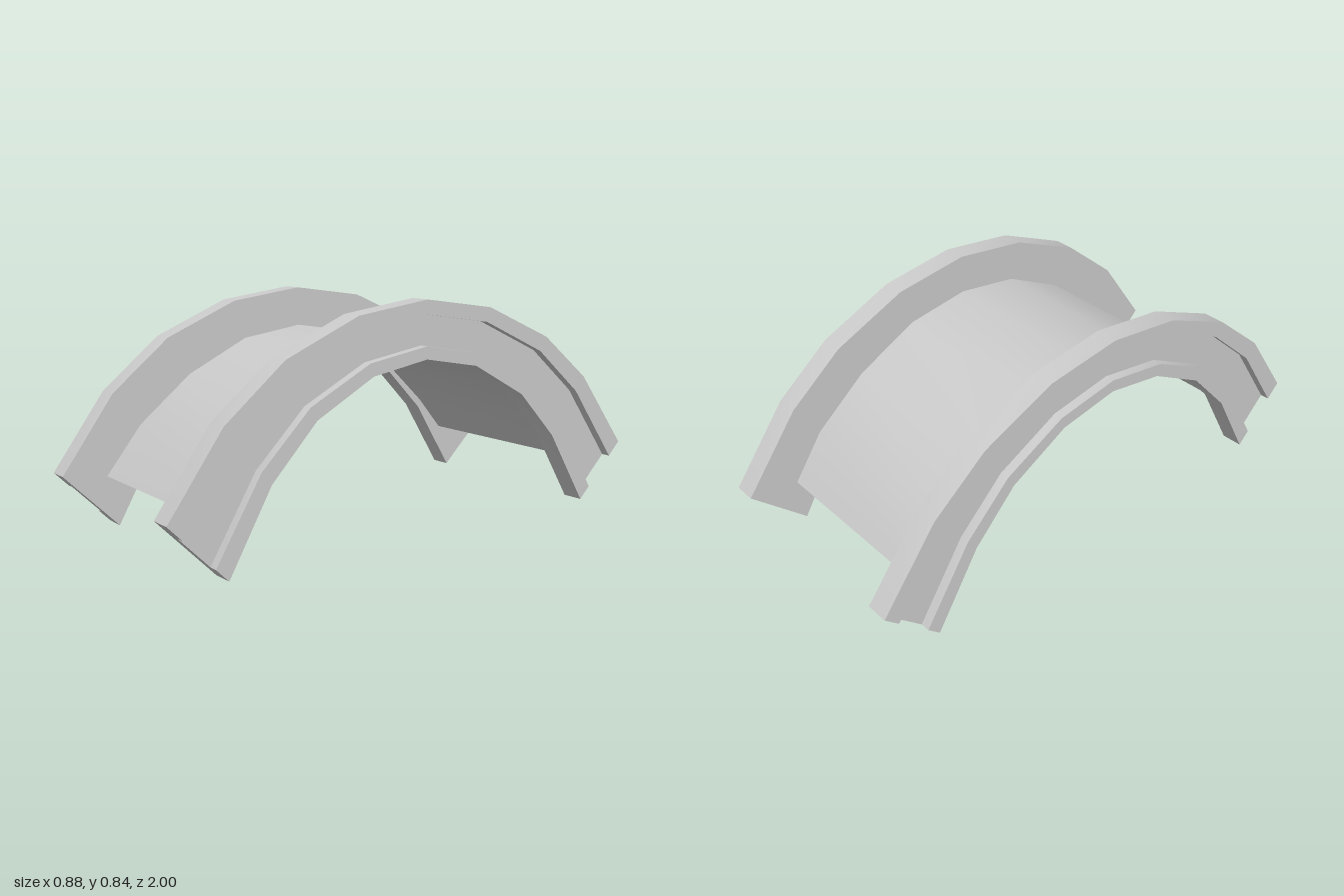
import * as THREE from 'three';
import { toCreasedNormals } from 'three/addons/utils/BufferGeometryUtils.js';

// Arcs run from the front end over the crown to the back end, as [z, y]
const railOuter = [[1, 0.21], [0.8, 0.49], [0.575, 0.677], [0.29, 0.8], [0, 0.84],
  [-0.29, 0.8], [-0.575, 0.677], [-0.785, 0.51], [-1, 0.23]];
const railInner = [[0.79, 0], [0.63, 0.285], [0.455, 0.472], [0.228, 0.595], [0, 0.635],
  [-0.228, 0.595], [-0.455, 0.472], [-0.62, 0.3], [-0.79, 0.025]];
const skinOuter = [[0.832, 0.19], [0.695, 0.365], [0.488, 0.535], [0.245, 0.655], [0, 0.692],
  [-0.245, 0.655], [-0.488, 0.535], [-0.69, 0.37], [-0.81, 0.2]];
const skinInner = [[0.75, 0.19], [0.635, 0.325], [0.457, 0.495], [0.23, 0.612], [0, 0.645],
  [-0.23, 0.612], [-0.457, 0.495], [-0.63, 0.33], [-0.74, 0.2]];

// Sweeps a closed profile of [x, t] along the arcs; t goes 0 (outer) to 1 (inner)
function sweep(name, outer, inner, profile, crease) {
  const n = profile.length;
  const pos = [];
  const index = [];
  outer.forEach(([z, y], i) => {
    const [zi, yi] = inner[i];
    for (const [x, t] of profile) pos.push(x, y + (yi - y) * t, z + (zi - z) * t);
  });
  for (let i = 0; i < outer.length - 1; i++) {
    for (let j = 0; j < n; j++) {
      const a = i * n + j;
      const b = i * n + (j + 1) % n;
      index.push(a, b, a + n, b, b + n, a + n);
    }
  }
  // End caps, turned to face outwards
  const flat = profile.map(([x, t]) => new THREE.Vector2(x, -t));
  const last = (outer.length - 1) * n;
  for (const [a, b, c] of THREE.ShapeUtils.triangulateShape(flat, [])) {
    const ccw = THREE.ShapeUtils.area([flat[a], flat[b], flat[c]]) > 0;
    const [p, q] = ccw ? [b, c] : [c, b];
    index.push(a, p, q, last + a, last + q, last + p);
  }
  const geometry = new THREE.BufferGeometry();
  geometry.setAttribute('position', new THREE.Float32BufferAttribute(pos, 3));
  geometry.setIndex(index);
  const mesh = new THREE.Mesh(
    toCreasedNormals(geometry, crease),
    new THREE.MeshStandardMaterial({ color: 0xcccccc })
  );
  mesh.name = name;
  return mesh;
}

export function createModel() {
  const group = new THREE.Group();
  group.name = 'archedCover';

  // Side rails with a shallow groove along the outer face
  const rail = [[0.44, 0], [0.44, 0.25], [0.405, 0.25], [0.405, 0.78],
    [0.44, 0.78], [0.44, 1], [0.357, 1], [0.357, 0]];
  const mirrored = rail.map(([x, t]) => [-x, t]).reverse();
  group.add(sweep('leftRail', railOuter, railInner, rail, 0.5));
  group.add(sweep('rightRail', railOuter, railInner, mirrored, 0.5));

  // Curved panel between the rails
  const panel = [[0.358, 0], [0.358, 1], [-0.358, 1], [-0.358, 0]];
  group.add(sweep('curvedPanel', skinOuter, skinInner, panel, 0.6));

  return group;
}
